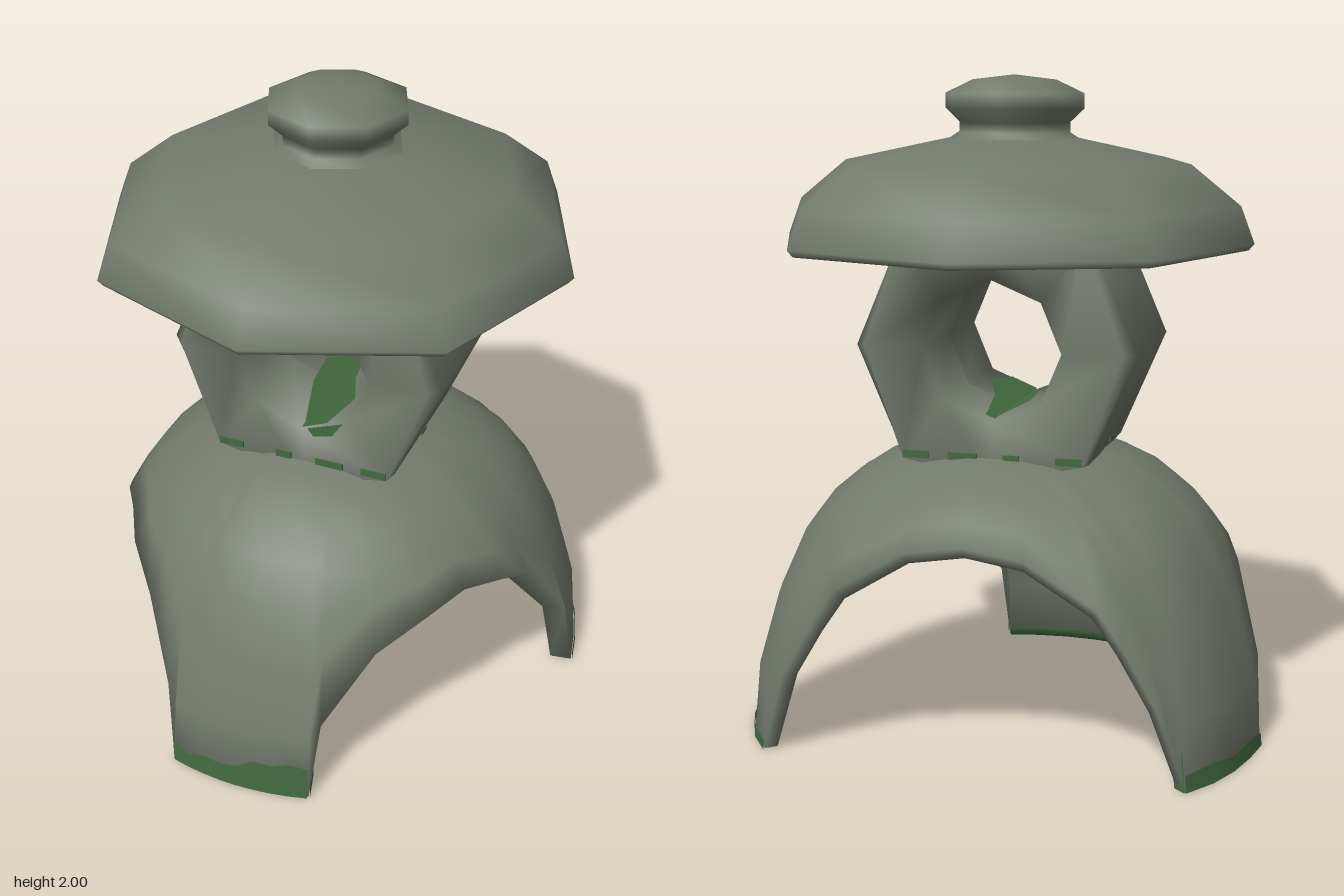
import * as THREE from 'three';
import { mergeVertices } from 'three/addons/utils/BufferGeometryUtils.js';

const AXIS_Z = -0.05;
const FOOT_Y = 0.004;
const { lerp, smoothstep, degToRad } = THREE.MathUtils;

const stone = new THREE.MeshStandardMaterial({ color: 0x727a6c });
stone.name = 'weathered stone';
const moss = new THREE.MeshStandardMaterial({ color: 0x42693f, side: THREE.DoubleSide });
moss.name = 'moss green';

// Dome profile from crown to foot: [radius, height]
const PROFILE = [[0, 0.902], [0.16, 0.9], [0.29, 0.878], [0.46, 0.81], [0.6, 0.695], [0.7, 0.555], [0.805, 0.26], [0.83, 0]];

// Lower edge of the dome round one half: [degrees from front, height]
const EDGE = [[0, FOOT_Y], [8, FOOT_Y], [16, FOOT_Y], [18.5, 0.27], [31, 0.48], [45, 0.56], [57, 0.59], [70, 0.56],
  [80, 0.51], [94, 0.27], [98.5, FOOT_Y], [107, FOOT_Y], [115, FOOT_Y], [122, FOOT_Y], [129.5, FOOT_Y],
  [135.5, 0.25], [141, 0.42], [146, 0.53], [163, 0.66], [180, 0.69]];

function profileAt(s) {
  const i = Math.min(Math.floor(s), PROFILE.length - 2), f = s - i;
  return [0, 1].map((k) => lerp(PROFILE[i][k], PROFILE[i + 1][k], f));
}

function profileParam(y) {
  let i = 0;
  while (i < PROFILE.length - 2 && PROFILE[i + 1][1] > y) i++;
  return i + (PROFILE[i][1] - y) / (PROFILE[i][1] - PROFILE[i + 1][1]);
}

// Angle away from the front, 0 to 180; the sides are closer in and the back legs thinner
const fromFront = (deg) => 180 - Math.abs(180 - ((deg + 360) % 360));
const thickness = (deg) => lerp(0.09, 0.04, smoothstep(fromFront(deg), 75, 130));
function reach(deg) {
  const d = fromFront(deg);
  return 1 - 0.025 * smoothstep(d, 30, 95) * (1 - smoothstep(d, 100, 125)) - 0.015 * smoothstep(d, 130, 145);
}

const inset = ([r, y], deg) => [Math.max(0, r - thickness(deg)), y - 0.045 * Math.min(1, y / 0.8)];

function place(deg, [r, y]) {
  const a = degToRad(deg), R = r * reach(deg);
  return [R * Math.sin(a), y, AXIS_Z + R * Math.cos(a)];
}

// Skin a list of equal-length columns of points
function skin(columns, closed) {
  const n = columns[0].length, index = [];
  const last = closed ? columns.length : columns.length - 1;
  for (let i = 0; i < last; i++) {
    for (let j = 0; j < n - 1; j++) {
      const a = i * n + j, b = ((i + 1) % columns.length) * n + j;
      index.push(a, a + 1, b + 1, a, b + 1, b);
    }
  }
  const geo = new THREE.BufferGeometry();
  geo.setAttribute('position', new THREE.Float32BufferAttribute(columns.flat(2), 3));
  geo.setIndex(index);
  geo.computeVertexNormals();
  return geo;
}

// Three-legged hollow dome
function baseGeometry() {
  const mirrored = EDGE.slice(1, -1).reverse().map(([d, y]) => [360 - d, y]);
  const rows = 9;
  const columns = [...EDGE, ...mirrored].map(([deg, y]) => {
    const end = profileParam(y), outer = [];
    for (let j = 0; j <= rows; j++) outer.push(profileAt((end * j) / rows));
    const inner = outer.map((p) => inset(p, deg)).reverse();
    return [...outer, ...inner].map((p) => place(deg, p));
  });
  return skin(columns, true);
}

// Eight-sided lamp housing, bevelled at the sides, with a round opening through it
function lampGeometry() {
  const columns = [];
  for (let i = 0; i < 8; i++) {
    const a = (i * Math.PI) / 4, c = Math.cos(a), s = Math.sin(a);
    const sx = Math.sign(Math.round(c * 2)), sy = Math.sign(Math.round(s * 2));
    const corner = i % 2 === 1;
    const at = ([x, y], z) => [x * sx, y * sy, z];
    const rim = corner ? [0.287, 0.334] : [0.43, 0.4];
    const face = corner ? [0.276, 0.334] : [0.395, 0.39];
    const hole = [0.212 * Math.abs(c), 0.212 * Math.abs(s)];
    columns.push([at(hole, 0), at(hole, 0.28), at(face, 0.28), at(rim, 0.24),
      at(rim, -0.24), at(face, -0.28), at(hole, -0.28), at(hole, 0)]);
  }
  return skin(columns, true);
}

// Moss on the outside of a foot; heights run across the leg
function footMoss(center, heights) {
  return skin(heights.map((h, i) => {
    const deg = center - 15.7 + (31.4 * i) / (heights.length - 1);
    const top = profileAt(profileParam(h));
    return [[top[0] + 0.005, h], [0.835, 0]].map((p) => place(deg, p));
  }), false);
}

// Moss under a foot, turning up the inside by a given height
function soleMoss(center, rise) {
  return skin([-15.7, -8, 0, 8, 15.7].map((d) => {
    const deg = center + d, r = 0.826 - thickness(deg);
    return [[0.835, 0], [r, 0], [r - 0.1 * rise, rise]].map((p) => place(deg, p));
  }), false);
}

// Moss on the cut side of a leg
function edgeMoss(deg, height) {
  return skin([0.832, 0.828 - thickness(deg)].map((r, i) =>
    [[r - 0.012, height * (1 - 0.4 * i)], [r, 0]].map((p) => place(deg, p))), false);
}

const flatPatch = (points) => new THREE.ShapeGeometry(new THREE.Shape(points.map(([x, y]) => new THREE.Vector2(x, y))));

function smoothLathe(points) {
  const geo = new THREE.LatheGeometry(points.map(([r, y]) => new THREE.Vector2(r, y)), 8);
  geo.deleteAttribute('uv');
  geo.deleteAttribute('normal');
  const merged = mergeVertices(geo, 1e-4);
  merged.computeVertexNormals();
  return merged;
}

export function createModel() {
  const group = new THREE.Group();
  const add = (name, geo, mat) => {
    const mesh = new THREE.Mesh(geo, mat);
    mesh.name = name;
    group.add(mesh);
    return mesh;
  };

  add('leggedBase', baseGeometry(), stone);
  add('lampHousing', lampGeometry(), stone).position.set(0, 1.2, -0.04);

  // Wide roof with a shallow hollow beneath; its diagonal corners reach out a little further
  const roof = smoothLathe([[0, 1.55], [0.3, 1.53], [0.66, 1.492], [0.715, 1.49], [0.732, 1.51],
    [0.69, 1.62], [0.54, 1.74], [0.2, 1.812], [0, 1.82]]);
  const pos = roof.attributes.position;
  for (let i = 0; i < pos.count; i++) {
    const x = pos.getX(i), z = pos.getZ(i);
    const k = 1 + 0.022 * Math.abs(Math.sin(2 * Math.atan2(x, z)));
    pos.setXYZ(i, x * k, pos.getY(i), z * k);
  }
  roof.computeVertexNormals();
  add('roof', roof, stone).position.z = AXIS_Z;

  const finial = smoothLathe([[0.22, 1.8], [0.173, 1.83], [0.173, 1.86], [0.216, 1.9], [0.216, 1.945],
    [0.13, 1.985], [0, 2]]);
  add('finial', finial, stone).position.z = AXIS_Z;

  // Moss on the feet
  add('frontFootMoss', footMoss(0, [0.06, 0.05, 0.07, 0.065, 0.075, 0.11, 0.105, 0.12, 0.11]), moss);
  add('leftFootMoss', footMoss(114, [0.03, 0.025, 0.035, 0.03, 0.03]), moss);
  add('rightFootMoss', footMoss(-114, [0.05, 0.06, 0.045, 0.05, 0.04]), moss);
  add('frontSoleMoss', soleMoss(0, 0.03), moss);
  add('rightSoleMoss', soleMoss(-114, 0.005), moss);
  add('frontEdgeMoss', edgeMoss(16.3, 0.12), moss);
  add('rightEdgeMoss', edgeMoss(-129.9, 0.12), moss);

  // Moss on the floor of the lamp opening, one patch on each of the two lowest faces
  const patches = [
    [1, [[0, -0.278], [0.09, -0.278], [0.13, -0.14], [0.07, 0], [0.03, 0.24], [0, 0.24]]],
    [-1, [[0, -0.25], [0, 0.18], [-0.07, 0.08], [-0.06, -0.05]]],
  ];
  for (const [side, points] of patches) {
    const geo = flatPatch(points);
    geo.rotateX(-Math.PI / 2);
    const mesh = add('openingMoss', geo, moss);
    mesh.rotation.z = (side * Math.PI) / 8;
    mesh.position.set(0, 0.992, -0.04);
  }
  add('openingLipMoss', flatPatch([[0.02, 0.995], [0.04, 0.97], [0.1, 0.985], [0.135, 1.038]]), moss).position.z = 0.244;

  // Moss along the foot of the lamp
  for (const z of [0.242, -0.322]) {
    for (const [x, w] of [[-0.235, 0.08], [-0.06, 0.05], [0.09, 0.09], [0.235, 0.08]]) {
      add('lampFootMoss', new THREE.BoxGeometry(w, 0.022, 0.006), moss).position.set(x, 0.88, z);
    }
  }
  for (const side of [-1, 1]) {
    add('lampSideMoss', new THREE.BoxGeometry(0.006, 0.012, 0.04), moss).position.set(side * 0.302, 0.896, -0.02);
  }
  return group;
}
